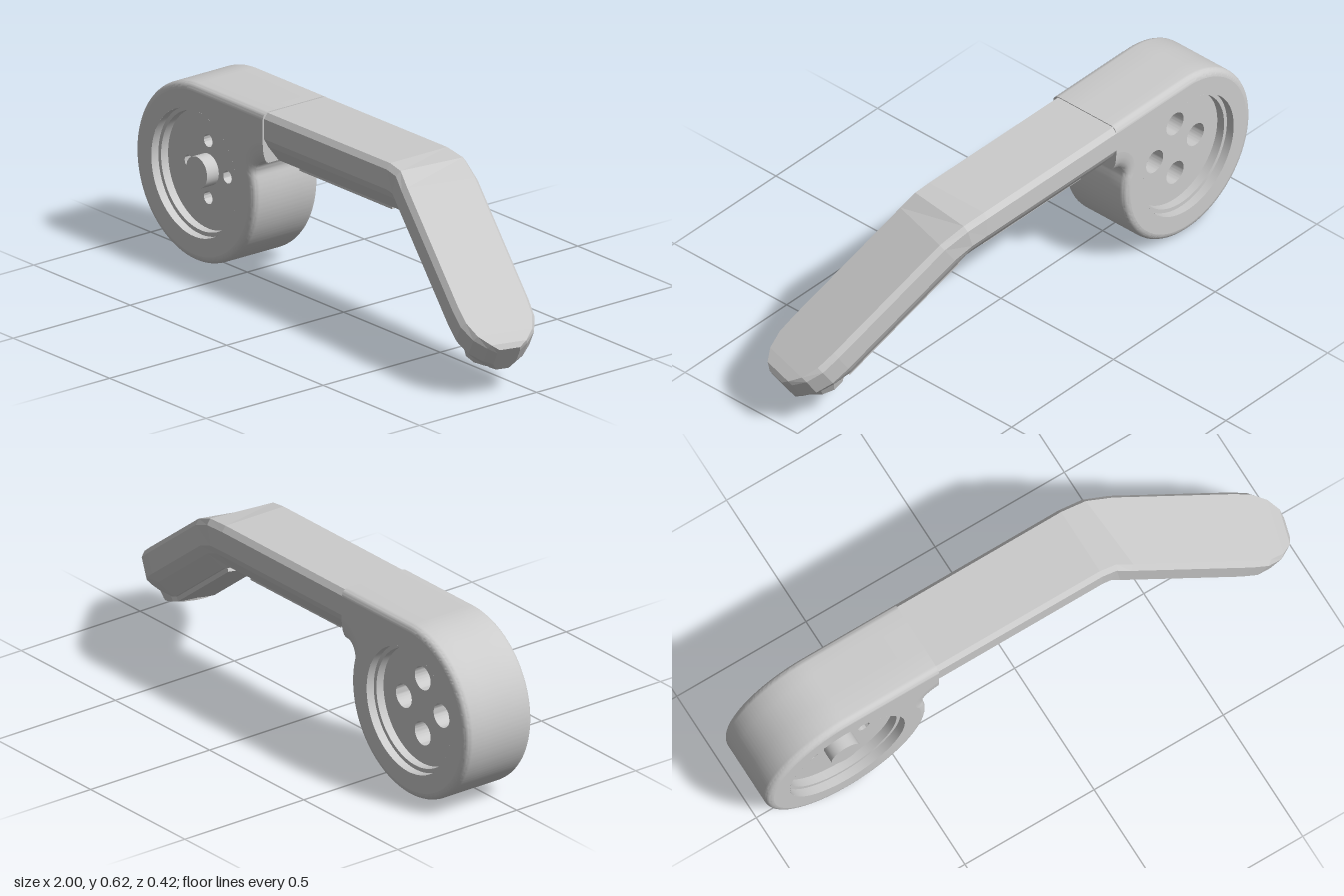
import * as THREE from 'three';
import { toCreasedNormals } from 'three/addons/utils/BufferGeometryUtils.js';

const smooth = new THREE.MeshStandardMaterial({ color: 0xcccccc, side: THREE.DoubleSide });
const faceted = new THREE.MeshStandardMaterial({ color: 0xcccccc, flatShading: true });
const V3 = (x, y, z) => new THREE.Vector3(x, y, z);

function add(parent, name, geometry, material = smooth) {
  const mesh = new THREE.Mesh(geometry, material);
  mesh.name = name;
  parent.add(mesh);
  return mesh;
}

// Skin over closed rings of equal point count, optionally capped
function loft(rings, capped) {
  const n = rings[0].length, pos = [], idx = [];
  rings.forEach(r => r.forEach(p => pos.push(p.x, p.y, p.z)));
  for (let j = 0; j < rings.length - 1; j++) {
    for (let i = 0; i < n; i++) {
      const k = (i + 1) % n, a = j * n + i, b = j * n + k;
      idx.push(a, b, b + n, a, b + n, a + n);
    }
  }
  const last = (rings.length - 1) * n;
  if (capped) for (let i = 1; i < n - 1; i++) idx.push(0, i + 1, i, last, last + i, last + i + 1);
  const g = new THREE.BufferGeometry();
  g.setAttribute('position', new THREE.Float32BufferAttribute(pos, 3));
  g.setIndex(idx);
  g.computeVertexNormals();
  return g;
}

// Drum placement and size
const CX = -0.69, CY = 0.31, R = 0.31, NECK_X = -0.335, NECK_Y = 0.44, BEVEL = 0.025;
const Z_BACK = -0.21, Z_FRONT = 0.07;

// Drum outline running tangentially into the neck, offset inwards by inset
function outline(inset) {
  const rf = 0.05, fy = NECK_Y - rf, dy = fy - CY;
  const dx = Math.sqrt((R + rf) ** 2 - dy * dy), t = Math.atan2(dy, dx);
  const pts = [new THREE.Vector2(NECK_X, CY + R - inset)];
  const steps = 240, r = R - inset;
  for (let i = 0; i <= steps; i++) {
    const a = Math.PI / 2 + (i / steps) * (Math.PI * 1.5 + t);
    pts.push(new THREE.Vector2(CX + r * Math.cos(a), CY + r * Math.sin(a)));
  }
  // fillet under the neck, its bevel widening into a chamfer
  for (let i = 1; i <= 12; i++) {
    const f = i / 12, a = Math.PI + t - f * (Math.PI / 2 + t), q = rf + inset * (1 + 2 * f);
    pts.push(new THREE.Vector2(CX + dx + q * Math.cos(a), fy + q * Math.sin(a)));
  }
  pts.push(new THREE.Vector2(NECK_X, NECK_Y + inset * 3));
  return pts;
}

function buildHousing() {
  const g = new THREE.Group();
  g.name = 'drumHousing';
  const rows = [];
  for (let i = 0; i <= 5; i++) {
    const a = (i / 5) * Math.PI / 2;
    rows.push([Z_BACK + BEVEL * (1 - Math.sin(a)), BEVEL * (1 - Math.cos(a))]);
  }
  rows.reverse();
  const back = rows.map(([z, s]) => [Z_BACK + (Z_BACK + BEVEL - z), s]);
  const profile = [];
  for (let i = 0; i <= 5; i++) {
    const a = (i / 5) * Math.PI / 2;
    profile.push([Z_BACK + BEVEL * (1 - Math.sin(a)), BEVEL * (1 - Math.cos(a))]);
  }
  profile.reverse();
  const front = profile.map(([z, s]) => [Z_FRONT + Z_BACK - z, s]).reverse();
  for (let z = -0.13; z < -0.038; z += 0.005) profile.push([z, 0]);
  const rings = [...profile, ...front].map(([z, inset]) => outline(inset).map(p => {
    // rounded slot pressed into the underside
    const along = Math.max(0, Math.abs(p.x - CX) - 0.07);
    const inSlot = p.y < 0.1 && Math.hypot(along, z + 0.085) < 0.041;
    const k = inSlot ? 0.9 : 1;
    return V3(CX + (p.x - CX) * k, CY + (p.y - CY) * k, z);
  }));
  add(g, 'housingShell', toCreasedNormals(loft(rings, false), 0.5));

  // Side faces, stepped recesses and drilled hub plates
  const sides = [
    { label: 'front', z: Z_FRONT, dir: 1, hole: 0.022, floor: 0.01 },
    { label: 'back', z: Z_BACK, dir: -1, hole: 0.042, floor: -0.15 },
  ];
  for (const s of sides) {
    const face = new THREE.Shape(outline(BEVEL));
    face.holes.push(new THREE.Path().absarc(CX, CY, 0.222, 0, Math.PI * 2, true));
    add(g, s.label + 'Face', new THREE.ShapeGeometry(face, 48)).position.z = s.z;

    const step = s.z - s.dir * 0.03;
    const wall = [[0.222, s.z], [0.222, step], [0.208, step], [0.208, s.floor]];
    const lathe = new THREE.LatheGeometry(wall.map(([r, z]) => new THREE.Vector2(r, z)), 64);
    lathe.rotateX(Math.PI / 2);
    add(g, s.label + 'Recess', toCreasedNormals(lathe, 0.5)).position.set(CX, CY, 0);

    const disc = new THREE.Shape().absarc(0, 0, 0.21, 0, Math.PI * 2, false);
    for (let i = 0; i < 4; i++) {
      const a = i * Math.PI / 2;
      disc.holes.push(new THREE.Path().absarc(0.1 * Math.cos(a), 0.1 * Math.sin(a), s.hole, 0, Math.PI * 2, true));
    }
    const depth = s.dir > 0 ? 0.03 : 0.13;
    const plate = new THREE.ExtrudeGeometry(disc, { depth, bevelEnabled: false, curveSegments: 32 });
    add(g, s.label + 'HubPlate', toCreasedNormals(plate, 0.5))
      .position.set(CX, CY, s.dir > 0 ? s.floor - depth : s.floor);
  }
  const post = new THREE.CylinderGeometry(0.055, 0.055, 0.06, 32);
  post.rotateX(Math.PI / 2);
  add(g, 'centrePost', post).position.set(CX, CY, 0.03);
  return g;
}

// Arm directions: straight part along +x, forearm down and forwards
const ELBOW = V3(0.353, 0.53, -0.073);
const FORE = V3(0.798, -0.559, 0.224).normalize();

function frame(dir) {
  const u = V3(0, 0, 0).crossVectors(dir, V3(0, 1, 0)).normalize();
  return { u, v: V3(0, 0, 0).crossVectors(u, dir) };
}

// Arm cross-section: small top chamfers, tapered belly
function section(centre, dir, width = 1, belly = 1, top = 1) {
  const half = [[0.122, 0.089], [0.137, 0.07], [0.137, 0.0], [0.12, -0.03], [0.075, -0.088]];
  const all = [...half, ...half.map(([a, b]) => [-a, b]).reverse()];
  const { u, v } = frame(dir);
  return all.map(([a, b]) => centre.clone().addScaledVector(u, a * width)
    .addScaledVector(v, b * (b < 0 ? belly : top)));
}

function buildArm() {
  const g = new THREE.Group();
  g.name = 'arm';
  const X = V3(1, 0, 0), mid = X.clone().add(FORE).normalize();
  const fore = s => ELBOW.clone().addScaledVector(FORE, s);
  const rings = [
    section(V3(-0.345, 0.528, -0.073), X),
    section(V3(0.3, 0.53, -0.073), X),
    section(V3(0.35, 0.525, -0.07), mid),
    section(fore(0.06), FORE),
    section(fore(0.56), FORE),
    section(fore(0.63), FORE, 0.97, 0.82),
    section(fore(0.69), FORE, 0.8, 0.6),
    section(fore(0.73), FORE, 0.52, 0.45, 0.97),
    section(fore(0.747), FORE, 0.3, 0.38, 0.85),
  ];
  add(g, 'armBody', loft(rings, true), faceted);

  // Strip under the straight part
  add(g, 'upperStrip', new THREE.BoxGeometry(0.48, 0.025, 0.13), faceted)
    .position.set(0, 0.44, -0.073);

  // Strip and rounded pad under the forearm
  const lower = new THREE.Group();
  lower.name = 'forearmUnderside';
  const { u, v } = frame(FORE);
  lower.quaternion.setFromRotationMatrix(new THREE.Matrix4().makeBasis(FORE, v, u));
  lower.position.copy(ELBOW);
  g.add(lower);
  add(lower, 'forearmStrip', new THREE.BoxGeometry(0.52, 0.022, 0.13), faceted)
    .position.set(0.31, -0.093, 0);
  const pad = add(lower, 'tipPad', new THREE.CylinderGeometry(0.092, 0.08, 0.035, 12), faceted);
  pad.position.set(0.635, -0.068, 0);
  pad.rotation.z = 0.33;
  return g;
}

export function createModel() {
  const model = new THREE.Group();
  model.name = 'drumWithBentArm';
  model.add(buildHousing(), buildArm());
  return model;
}
